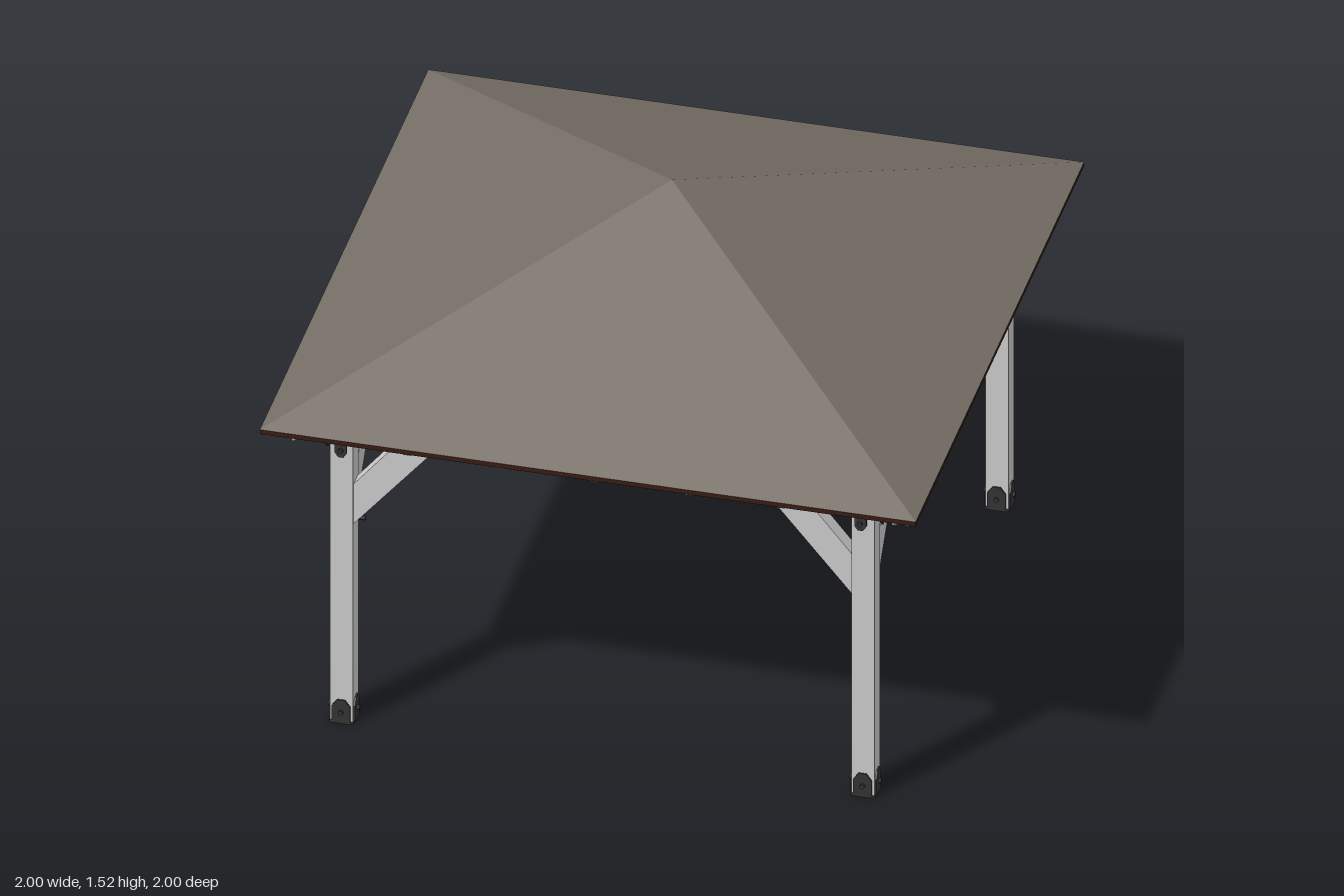
import * as THREE from 'three';

const wood = new THREE.MeshStandardMaterial({ color: 0xcccccc, flatShading: true });
const paint = (color, side = THREE.FrontSide) =>
  new THREE.MeshStandardMaterial({ color, side, flatShading: true });
const shingle = paint(0x766e66);
const boards = paint(0x5c3a1c, THREE.DoubleSide);
const trim = paint(0x3a1c14);
const iron = paint(0x333333);

const POST = 0.795, POST_W = 0.07, BEAM_W = 0.095;
const EAVE = 1.11, RISE = 0.41;

function add(parent, name, geometry, material, x = 0, y = 0, z = 0) {
  const mesh = new THREE.Mesh(geometry, material);
  mesh.name = name;
  mesh.position.set(x, y, z);
  parent.add(mesh);
  return mesh;
}

// Flat outline extruded along z, centred on z = 0
function slab(shape, depth) {
  return new THREE.ExtrudeGeometry(shape, { depth, bevelEnabled: false, curveSegments: 8 })
    .translate(0, 0, -depth / 2);
}
const polygon = points => new THREE.Shape(points.map(([x, y]) => new THREE.Vector2(x, y)));

// Sloping rafter with a scalloped tail; r runs outward from the centre
function rafterGeometry(start, width, stretch) {
  const top = r => EAVE + RISE * (1 - r) - 0.022;
  const low = r => top(r) - 0.077;
  const s = new THREE.Shape();
  s.moveTo(start, low(start));
  s.lineTo(0.925, low(0.925));
  s.quadraticCurveTo(0.94, 1.08, 0.965, 1.078);
  s.lineTo(0.985, 1.088);
  s.lineTo(0.985, top(0.985));
  s.lineTo(start, top(start));
  s.closePath();
  return slab(s, width).scale(stretch, 1, 1);
}

const boltGeometry = new THREE.CylinderGeometry(0.008, 0.008, 1, 8).rotateX(Math.PI / 2);
function bolt(parent, x, y, z, length) {
  const mesh = add(parent, 'bolt', boltGeometry, iron, x, y, z);
  mesh.scale.z = length;
  return mesh;
}

function buildPost() {
  const post = new THREE.Group();
  post.name = 'post';
  add(post, 'postTimber', new THREE.BoxGeometry(POST_W, 1.0, POST_W), wood, 0, 0.505, 0);
  add(post, 'footPlate', new THREE.BoxGeometry(0.076, 0.008, 0.076), iron, 0, 0.004, 0);
  // Pointed shoe plates on the four faces
  const shoe = slab(polygon([[-0.028, 0], [0.028, 0], [0.028, 0.06],
    [0.012, 0.082], [-0.012, 0.082], [-0.028, 0.06]]), 0.006);
  for (let i = 0; i < 4; i++) {
    const face = new THREE.Group();
    face.name = 'shoeFace';
    face.rotation.y = i * Math.PI / 2;
    add(face, 'shoePlate', shoe, iron, 0, 0, POST_W / 2 + 0.002);
    bolt(face, 0, 0.04, POST_W / 2 + 0.006, 0.014);
    post.add(face);
  }
  post.position.set(POST, 0, POST);
  return post;
}

function buildSide() {
  const side = new THREE.Group();
  side.name = 'side';

  // Beam, butting against the neighbouring one at one end
  const half = BEAM_W / 2, outer = POST + half, inner = POST - half;
  add(side, 'beam', new THREE.BoxGeometry(outer + inner, 0.095, BEAM_W), wood, half, 1.0475, POST);

  const strap = slab(polygon([[-0.018, 0.965], [-0.008, 0.95], [0.008, 0.95], [0.018, 0.965],
    [0.018, 1.07], [0.008, 1.087], [-0.008, 1.087], [-0.018, 1.07]]), 0.008);
  for (const s of [-1, 1]) {
    // Diagonal brace between post and beam
    const outline = [[0.762, 0.70], [0.762, 0.84], [0.63, 1.002], [0.51, 1.002]];
    add(side, 'brace', slab(polygon(outline.map(([x, y]) => [s * x, y])), 0.05), wood, 0, 0, POST);
    bolt(side, s * 0.745, 0.712, POST, 0.03).rotation.y = Math.PI / 2;
    // Through bolts above the brace
    for (const y of [1.02, 1.06]) bolt(side, s * 0.565, y, POST, BEAM_W + 0.012);
    // Corner strap with its bolts
    add(side, 'cornerStrap', strap, iron, s * 0.792, 0, outer + 0.003);
    for (const y of [0.975, 1.01, 1.04, 1.07]) bolt(side, s * 0.792, y, outer + 0.006, 0.02);
    // Bolt heads on the inner face near the corner
    for (const y of [1.025, 1.065]) bolt(side, s * 0.71, y, inner, 0.014);
  }

  // Common rafter in the middle, shorter jack rafters beside it
  for (const x of [-0.57, -0.285, 0, 0.285, 0.57]) {
    add(side, 'rafter', rafterGeometry(Math.abs(x) + 0.16, 0.025, 1), wood, x).rotation.y = -Math.PI / 2;
  }
  // Hip rafter on the diagonal
  add(side, 'hipRafter', rafterGeometry(0.18, 0.028, Math.SQRT2), wood).rotation.y = -Math.PI / 4;

  // Thin trim along the eave
  add(side, 'eaveTrim', new THREE.BoxGeometry(1.998, 0.016, 0.012), trim, 0, 1.102, 0.993);

  side.add(buildPost());
  return side;
}

export function createModel() {
  const model = new THREE.Group();
  model.name = 'pavilion';

  // Four identical sides
  for (let i = 0; i < 4; i++) {
    const side = buildSide();
    side.rotation.y = i * Math.PI / 2;
    model.add(side);
  }

  // Pyramid roof: shingles above, boards below
  const pyramid = r => new THREE.ConeGeometry(r * Math.SQRT2, RISE, 4, 1, true).rotateY(Math.PI / 4);
  add(model, 'roofShingles', pyramid(1), shingle, 0, EAVE + RISE / 2, 0);
  add(model, 'roofBoards', pyramid(0.995), boards, 0, EAVE - 0.015 + RISE / 2, 0);
  return model;
}
